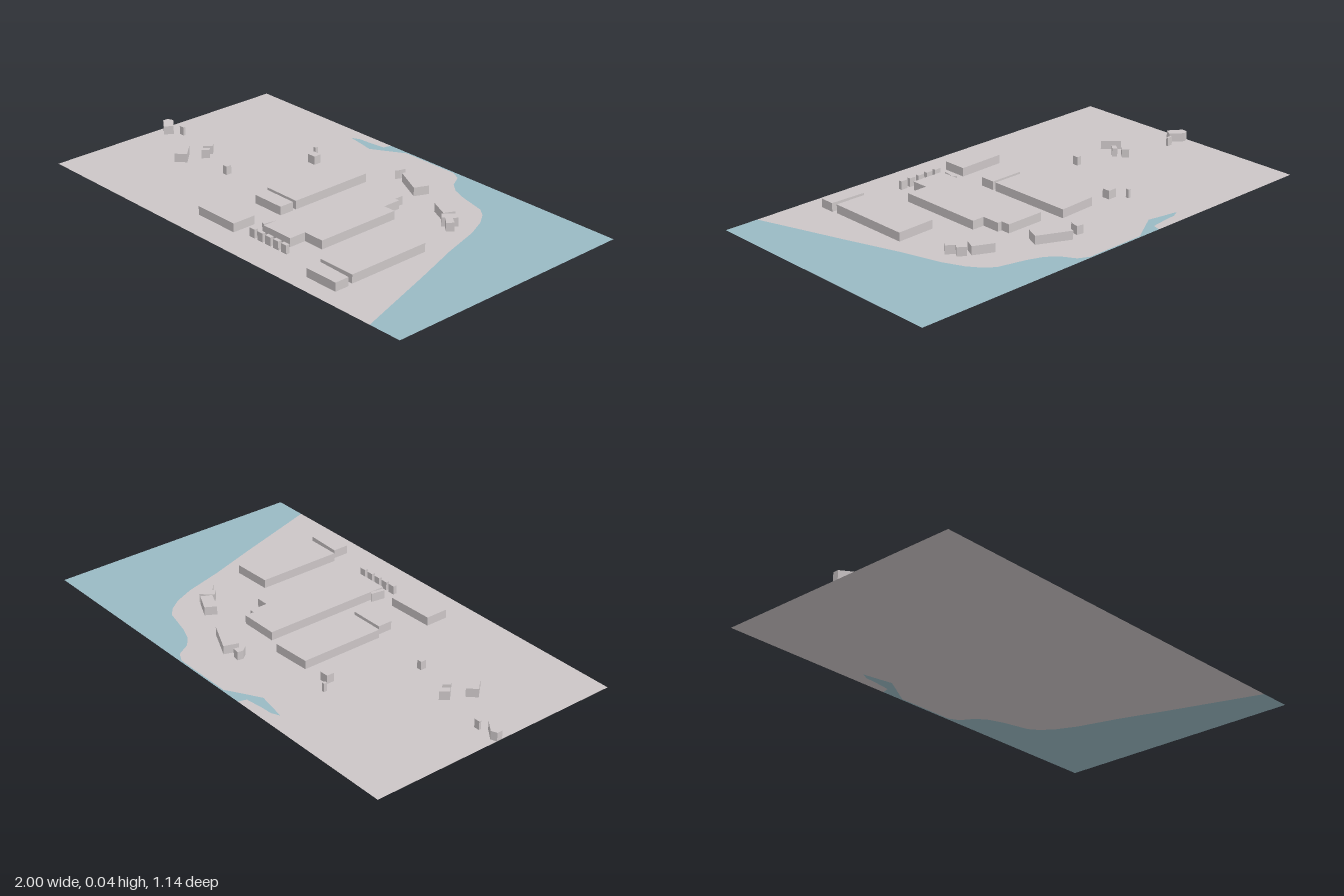
import * as THREE from 'three';

const HEIGHT = 0.037;

// Plan coordinates are [x, z]; the shape plane is later laid flat.
const planShape = (points) => new THREE.Shape(points.map(([x, z]) => new THREE.Vector2(x, -z)));
const rect = (x0, z0, x1, z1) => [[x0, z0], [x1, z0], [x1, z1], [x0, z1]];

export function createModel() {
  const group = new THREE.Group();
  const land = new THREE.MeshStandardMaterial({ color: 0xcbc5c6, side: THREE.DoubleSide });
  land.name = 'warm grey';
  const sea = new THREE.MeshStandardMaterial({ color: 0x99b9c3, side: THREE.DoubleSide });
  sea.name = 'water blue';

  const add = (name, geometry, material) => {
    geometry.rotateX(-Math.PI / 2);
    const mesh = new THREE.Mesh(geometry, material);
    mesh.name = name;
    group.add(mesh);
  };
  const building = (name, points) => add(name,
    new THREE.ExtrudeGeometry(planShape(points), { depth: HEIGHT, bevelEnabled: false }), land);

  // Shoreline shared by land and water: inlet, narrow strip, then the bay
  const shore = [
    [-0.2, -0.57], [-0.21, -0.535], [-0.29, -0.525], [-0.34, -0.522], [-0.375, -0.505],
    [-0.33, -0.497], [-0.29, -0.49], [-0.24, -0.48], [-0.18, -0.515], [-0.1, -0.563],
    [0.17, -0.563], [0.215, -0.54], [0.25, -0.48], [0.295, -0.445], [0.36, -0.42],
    [0.48, -0.39], [0.52, -0.36], [0.56, -0.305], [0.6, -0.215], [0.65, -0.04],
    [0.725, 0.18], [0.79, 0.38], [0.852, 0.57],
  ];
  add('ground', new THREE.ShapeGeometry(planShape([[-1, 0.57], [-1, -0.57], ...shore])), land);
  add('water', new THREE.ShapeGeometry(planShape([...shore, [1, 0.57], [1, -0.57]])), sea);

  // Large halls and their annexes
  building('mainHall', [
    [0.07, -0.2], [0.24, -0.2], [0.24, -0.16], [0.26, -0.16], [0.26, -0.08],
    [0.315, -0.08], [0.315, 0.3], [0.22, 0.3], [0.22, 0.375], [0.07, 0.375],
  ]);
  building('westHall', [[-0.18, -0.232], [-0.01, -0.24], [-0.01, 0.14], [-0.18, 0.14]]);
  building('westAnnex', rect(-0.16, 0.155, -0.01, 0.22));
  building('frontHall', [[-0.23, 0.35], [-0.02, 0.345], [-0.02, 0.45], [-0.23, 0.45]]);
  building('eastHall', [[0.42, 0.035], [0.59, 0.03], [0.59, 0.405], [0.42, 0.405]]);
  building('eastAnnex', [[0.44, 0.422], [0.595, 0.428], [0.595, 0.492], [0.44, 0.492]]);

  // Angled buildings near the shore
  building('shoreHouse', [[0.105, -0.41], [0.243, -0.345], [0.217, -0.285], [0.085, -0.35]]);
  building('shoreShed', [
    [0.035, -0.395], [0.065, -0.39], [0.06, -0.365], [0.05, -0.345], [0.03, -0.37],
  ]);
  building('bayHouse', [[0.395, -0.29], [0.478, -0.25], [0.457, -0.205], [0.37, -0.245]]);
  building('bayCottage', [
    [0.495, -0.243], [0.525, -0.218], [0.512, -0.2], [0.545, -0.175], [0.525, -0.15],
    [0.49, -0.18], [0.48, -0.17], [0.455, -0.195],
  ]);

  // Scattered houses to the west
  building('backHut', rect(-0.315, -0.235, -0.275, -0.2));
  building('backKiosk', rect(-0.352, -0.28, -0.34, -0.265));
  building('edgeHouse', [[-1, -0.005], [-0.975, -0.015], [-0.922, 0.025], [-0.945, 0.06], [-1, 0.02]]);
  building('edgeShed', rect(-0.905, -0.005, -0.88, 0.005));
  building('fieldHutA', [[-0.69, 0.05], [-0.663, 0.018], [-0.643, 0.04], [-0.67, 0.07]]);
  building('fieldHutB', [[-0.655, 0.085], [-0.635, 0.06], [-0.62, 0.075], [-0.642, 0.1]]);
  building('fieldHouse', [[-0.745, 0.145], [-0.71, 0.11], [-0.65, 0.17], [-0.69, 0.205]]);
  building('smallHut', rect(-0.465, 0.106, -0.443, 0.131));

  // Lean-to and row of sheds in front of the main hall
  building('leanTo', [[0.055, 0.3], [0.07, 0.31], [0.06, 0.367], [0.045, 0.362]]);
  for (let i = 0; i < 5; i++) {
    const x = 0.045 + i * 0.045;
    building(`rowShed${i + 1}`, rect(x, 0.41, x + 0.03, 0.426));
  }
  return group;
}
